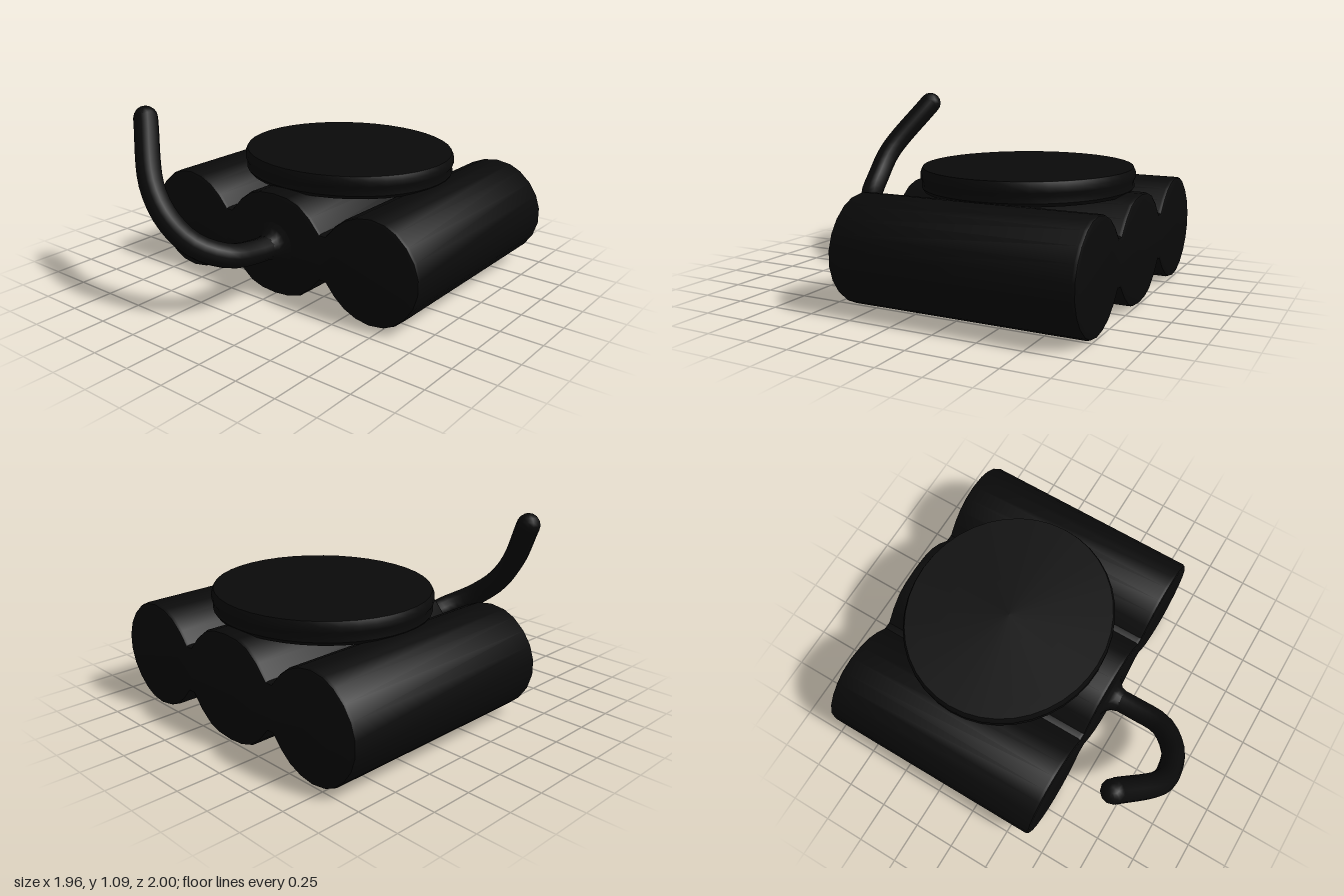
import * as THREE from 'three';
import { toCreasedNormals } from 'three/addons/utils/BufferGeometryUtils.js';

export function createModel() {
  const group = new THREE.Group();
  const material = new THREE.MeshStandardMaterial({ color: 0x0a0a0a });
  const add = (name, geometry) => {
    const mesh = new THREE.Mesh(geometry, material);
    mesh.name = name;
    group.add(mesh);
    return mesh;
  };

  // Three joined rolls: one quarter of the cross-section, mirrored both ways
  const midY = 0.313, bevel = 0.02;
  const quarter = [
    [0, 0.31], [0.1, 0.302], [0.18, 0.277], [0.26, 0.217], [0.33, 0.138], [0.37, 0.138],
    [0.43, 0.207], [0.5, 0.262], [0.58, 0.296], [0.67, 0.31], [0.76, 0.297], [0.83, 0.264],
    [0.9, 0.203], [0.95, 0.13], [0.978, 0.045],
  ];
  const upper = [...quarter.slice(1).reverse().map(([x, h]) => [-x, h]), ...quarter];
  const outline = [...upper, ...upper.slice().reverse().map(([x, h]) => [x, -h])];
  const section = new THREE.Shape(outline.map(([x, h]) => new THREE.Vector2(x, midY + h)).reverse());
  const rolls = new THREE.ExtrudeGeometry(section, {
    depth: 1.4 - 2 * bevel, bevelEnabled: true, bevelSize: bevel, bevelOffset: -bevel,
    bevelThickness: bevel, bevelSegments: 2,
  });
  rolls.translate(0, 0, -1 + bevel);
  add('rolls', toCreasedNormals(rolls, 0.7));

  // Oval plate lying on the rolls
  const plateProfile = [[0, 0.605], [0.97, 0.605], [0.99, 0.625], [0.985, 0.66], [1, 0.68],
    [1, 0.71], [0.98, 0.738], [0, 0.74]].map(([r, y]) => new THREE.Vector2(r, y));
  const plate = new THREE.LatheGeometry(plateProfile, 40);
  plate.scale(0.657, 1, 0.61);
  add('plate', toCreasedNormals(plate, 0.6)).position.z = -0.31;

  // Curved cord rising from the middle roll, with a rounded tip
  const radius = 0.07;
  const path = new THREE.CatmullRomCurve3([
    [0, 0.31, 0.36], [0, 0.32, 0.57], [-0.02, 0.355, 0.76], [-0.14, 0.43, 0.89],
    [-0.29, 0.55, 0.93], [-0.42, 0.71, 0.915], [-0.65, 1.02, 0.735],
  ].map((p) => new THREE.Vector3(...p)), false, 'centripetal');
  add('cord', new THREE.TubeGeometry(path, 24, radius, 12));
  add('cordTip', new THREE.SphereGeometry(radius, 12, 8)).position.copy(path.getPoint(1));

  // Flared collar where the cord meets the roll
  const collarProfile = [[0.145, 0], [0.105, 0.02], [0.08, 0.045], [0.068, 0.08]]
    .map(([r, y]) => new THREE.Vector2(r, y));
  const collar = add('cordCollar', new THREE.LatheGeometry(collarProfile, 16));
  collar.rotation.x = Math.PI / 2;
  collar.position.set(0, 0.313, 0.395);

  return group;
}
